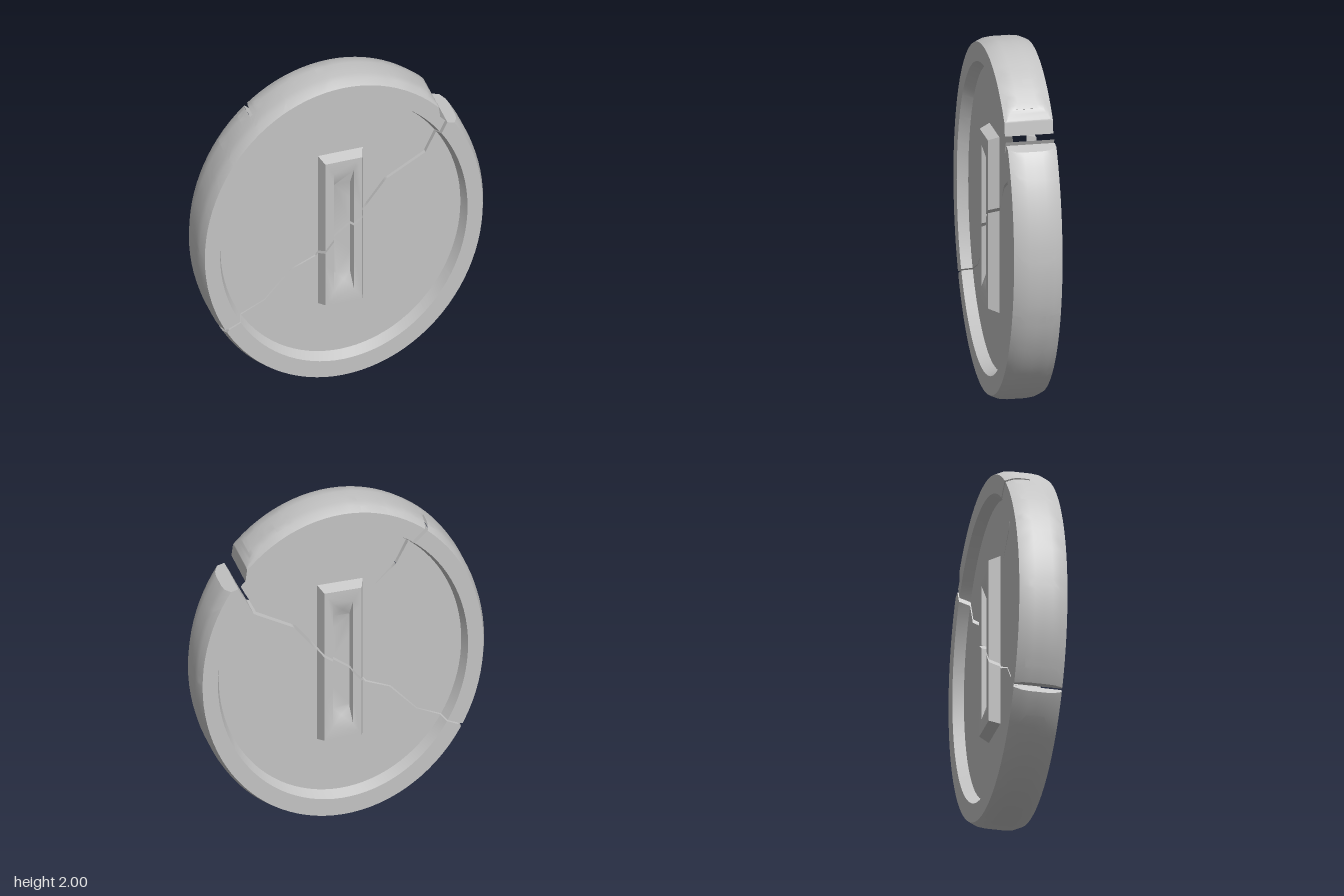
import * as THREE from 'three';
import { toCreasedNormals } from 'three/addons/utils/BufferGeometryUtils.js';

const EPS = 1e-6;
const U = [0.75, 0.66]; // general direction of the break

// Signed distance of a point from the line a-b, positive on its left
const side = (p, a, b) =>
  ((b[0] - a[0]) * (p[1] - a[1]) - (b[1] - a[1]) * (p[0] - a[0])) / Math.hypot(b[0] - a[0], b[1] - a[1]);

// Keep the part of a polygon where dist(p) >= 0
function clip(poly, dist) {
  const out = [];
  poly.forEach((p, i) => {
    const q = poly[(i + 1) % poly.length];
    const dp = dist(p), dq = dist(q);
    if (dp >= -EPS) out.push(p);
    if ((dp > EPS && dq < -EPS) || (dp < -EPS && dq > EPS)) {
      const t = dp / (dp - dq);
      out.push(p.map((v, k) => v + (q[k] - v) * t));
    }
  });
  return out.length > 2 ? out : [];
}

// Faces between two nested loops of points
function loft(outer, inner) {
  const n = outer.length;
  const faces = [];
  for (let i = 0; i < n; i++) {
    const j = (i + 1) % n;
    faces.push([outer[i], outer[j], inner[j]], [outer[i], inner[j], inner[i]]);
  }
  return faces;
}

const oval = ([e, z]) => Array.from({ length: 96 }, (_, i) => {
  const a = (i / 96) * Math.PI * 2;
  return [0.812 * e * Math.cos(a), 1 + e * Math.sin(a), z];
});
const rect = ([w, h, z]) => [[-w, 1 - h, z], [w, 1 - h, z], [w, 1 + h, z], [-w, 1 + h, z]];
const stack = (loops) => loops.slice(1).flatMap((l, i) => loft(loops[i], l));

// Front faces of each part; the back mirrors them
function frontFaces() {
  const fieldZ = 0.075;
  const rim = [[1, 0], [1, 0.05], [0.995, 0.09], [0.975, 0.134], [0.868, 0.134], [0.842, fieldZ]].map(oval);
  const floor = rim[5];
  const bar = [[0.128, 0.5, fieldZ], [0.105, 0.478, 0.134], [0.057, 0.4, 0.134], [0.046, 0.3, 0.1]].map(rect);
  return {
    Rim: stack(rim),
    Field: floor.map((p, i) => [p, floor[(i + 1) % floor.length], [0, 1, fieldZ]]),
    RaisedBar: [...stack(bar), bar[3]],
  };
}

// Crack line, then the chipped ends on either side of it
const crack = [[-0.43, 0.595], [-0.28, 0.765], [-0.14, 0.825], [-0.05, 0.945],
  [0.14, 1.09], [0.26, 1.25], [0.485, 1.38], [0.59, 1.6]];
const lowerEdge = [[-0.9, 0.36], [-0.69, 0.43], [-0.655, 0.485], ...crack, [0.66, 1.58], [0.9, 1.5]];
const upperEdge = [[-0.9, 0.48], [-0.66, 0.492],
  ...crack.map(([x, y], i) => {
    const gap = 0.006 + 0.002 * i;
    return [x - 0.66 * gap, y + 0.75 * gap];
  }), [0.55, 1.64], [0.54, 1.72], [0.509, 1.775], [0.53, 1.79], [0.6, 1.86]];

// Hairline groove on the back, from the rim inward, as tapering quads
const groove = [[-0.53, 1.87, 0.012], [-0.475, 1.79, 0.011], [-0.38, 1.7, 0.009], [-0.31, 1.56, 0.007], [-0.2, 1.45, 0.001]];
const grooveQuads = groove.slice(1).map((b, i) => {
  const a = groove[i];
  const len = Math.hypot(b[0] - a[0], b[1] - a[1]);
  const n = [-(b[1] - a[1]) / len, (b[0] - a[0]) / len];
  const at = (p, s) => [p[0] + n[0] * p[2] * s, p[1] + n[1] * p[2] * s];
  return [at(a, -1), at(b, -1), at(b, 1), at(a, 1)];
});

// Sink the groove into a set of faces
function carve(faces) {
  const floor = [];
  for (const quad of grooveQuads) {
    const rest = [];
    for (const face of faces) {
      let inside = face;
      for (let k = 0; k < 4 && inside.length; k++) {
        const a = quad[k], b = quad[(k + 1) % 4];
        const cut = clip(inside, (p) => -side(p, a, b));
        if (cut.length) rest.push(cut);
        inside = clip(inside, (p) => side(p, a, b));
      }
      if (!inside.length) continue;
      const low = (p) => [p[0], p[1], 0];
      floor.push(inside.map(low));
      inside.forEach((p, i) => {
        const q = inside[(i + 1) % inside.length];
        for (const k of [0, 2]) {
          const onLine = (r) => Math.abs(side(r, quad[k], quad[k + 1])) < 1e-5;
          if (onLine(p) && onLine(q)) floor.push([p, q, low(q), low(p)]);
        }
      });
    }
    faces = rest;
  }
  return [...faces, ...floor];
}

// Trim faces to one side of the break and close the broken edge
function fragment(faces, edge, sign) {
  const kept = [], walls = [];
  const along = (p) => p[0] * U[0] + p[1] * U[1];
  for (let i = 0; i < edge.length - 1; i++) {
    const a = edge[i], b = edge[i + 1];
    const dist = (p) => sign * side(p, a, b);
    for (const face of faces) {
      let poly = clip(face, (p) => along(p) - along(a));
      poly = clip(poly, (p) => along(b) - along(p));
      poly = clip(poly, dist);
      if (!poly.length) continue;
      kept.push(poly);
      poly.forEach((p, j) => {
        const q = poly[(j + 1) % poly.length];
        if (Math.abs(dist(p)) < 1e-5 && Math.abs(dist(q)) < 1e-5 && Math.hypot(p[0] - q[0], p[1] - q[1]) > 1e-5)
          walls.push([p, [p[0], p[1], -p[2]], [q[0], q[1], -q[2]], q]);
      });
    }
  }
  const backFaces = sign > 0 ? carve(kept) : kept;
  const back = backFaces.map((f) => f.map(([x, y, z]) => [x, y, -z]).reverse());
  return [...kept, ...back, ...walls];
}

function toGeometry(faces) {
  const pos = [];
  const [a, b, c] = [new THREE.Vector3(), new THREE.Vector3(), new THREE.Vector3()];
  for (const f of faces) {
    for (let i = 1; i < f.length - 1; i++) {
      a.set(...f[0]); b.set(...f[i]); c.set(...f[i + 1]);
      // skip slivers
      if (b.sub(a).cross(c.sub(a)).length() > 1e-7) pos.push(...f[0], ...f[i], ...f[i + 1]);
    }
  }
  const g = new THREE.BufferGeometry();
  g.setAttribute('position', new THREE.Float32BufferAttribute(pos, 3));
  return toCreasedNormals(g, 0.5);
}

export function createModel() {
  const stone = new THREE.MeshStandardMaterial({ color: 0xc4c4c4 });
  stone.name = 'grey stone';
  const model = new THREE.Group();
  model.name = 'brokenCoin';
  const parts = frontFaces();
  for (const [name, edge, sign] of [['upper', upperEdge, 1], ['lower', lowerEdge, -1]]) {
    const half = new THREE.Group();
    half.name = name + 'Fragment';
    for (const [part, faces] of Object.entries(parts)) {
      const mesh = new THREE.Mesh(toGeometry(fragment(faces, edge, sign)), stone);
      mesh.name = name + part;
      half.add(mesh);
    }
    model.add(half);
  }
  return model;
}
